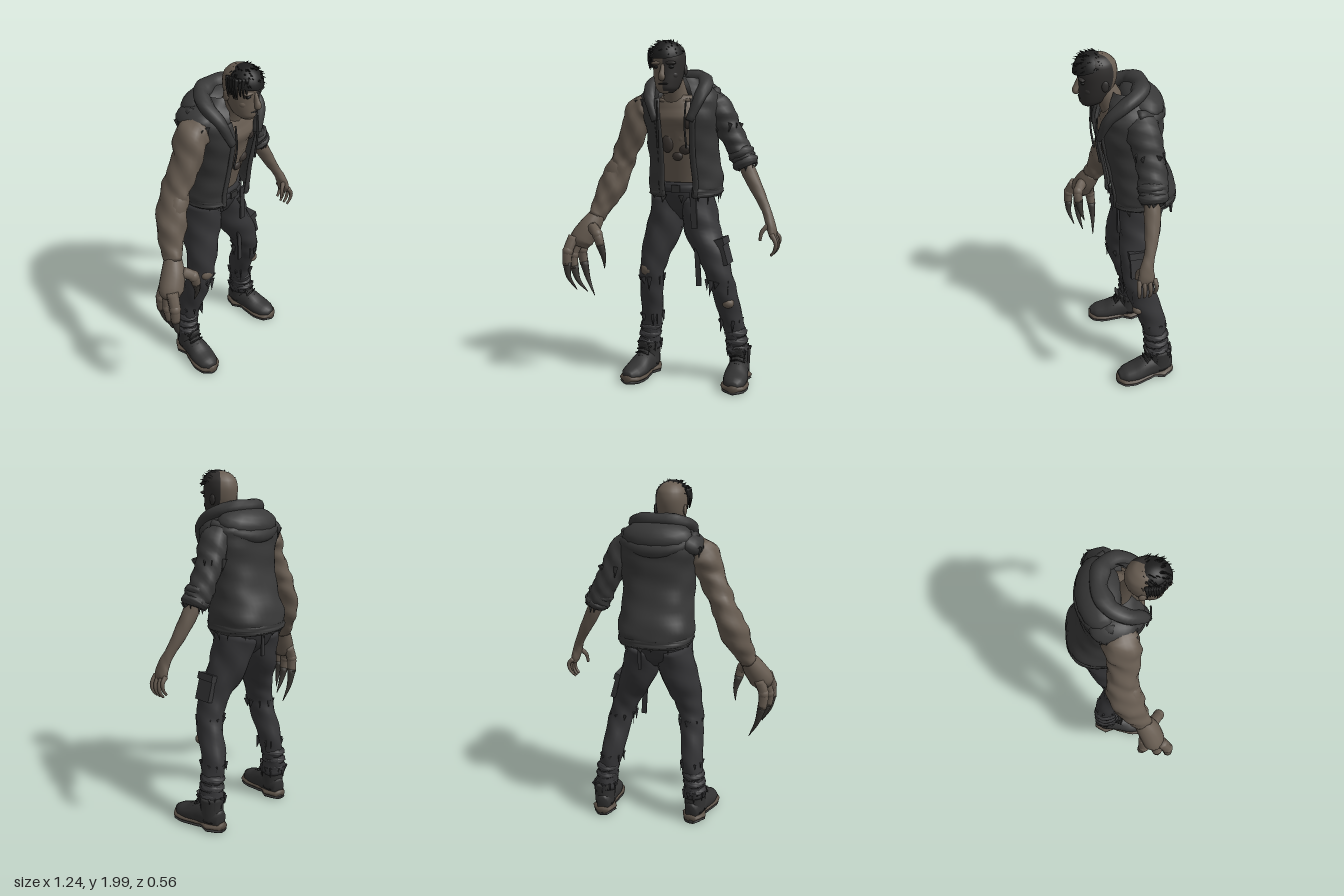
import * as THREE from 'three';

const mat = (name, hex, two) => {
  const m = new THREE.MeshStandardMaterial({ color: hex });
  m.name = name;
  if (two) m.side = THREE.DoubleSide;
  return m;
};
const squared = (v, power) => Math.sign(v) * Math.abs(v) ** power;

// Smooth loft through [x, y, z, halfWidth, halfDepth] sections; power under 1 squares the section.
function loft(pts, o = {}) {
  const { seg = 16, sub = 4, flat = false, ref = [1, 0, 0], wrinkle = 0, arc = [0, Math.PI * 2], cap = true, power = 1 } = o;
  const path = new THREE.CatmullRomCurve3(pts.map(p => new THREE.Vector3(p[0], p[1], p[2])));
  const size = new THREE.CatmullRomCurve3(pts.map(p => new THREE.Vector3(p[3], p[4], 0)));
  const full = arc[1] - arc[0] > 6.28, cols = full ? seg : seg + 1, rows = (pts.length - 1) * sub;
  const pos = [], idx = [], R = new THREE.Vector3(...ref), up = new THREE.Vector3(0, 1, 0);
  for (let i = 0; i <= rows; i++) {
    const k = i / rows, c = path.getPoint(k), r = size.getPoint(k);
    const t = flat ? up : path.getTangent(k);
    const s = R.clone().addScaledVector(t, -R.dot(t)).normalize();
    const u = new THREE.Vector3().crossVectors(t, s);
    for (let j = 0; j < cols; j++) {
      const a = arc[0] + (arc[1] - arc[0]) * j / seg;
      const w = 1 + wrinkle * (Math.sin(3 * a + k * 41) + Math.sin(5 * a - k * 27)) / 2;
      const p = c.clone().addScaledVector(s, squared(Math.cos(a), power) * r.x * w).addScaledVector(u, squared(Math.sin(a), power) * r.y * w);
      pos.push(p.x, p.y, p.z);
    }
  }
  const tip = pos.length / 3, last = rows * cols;
  const first = path.getPoint(0), end = path.getPoint(1);
  if (cap) pos.push(first.x, first.y, first.z, end.x, end.y, end.z);
  for (let j = 0; j < seg; j++) {
    const n = (j + 1) % cols;
    for (let i = 0; i < rows; i++) {
      const a = i * cols + j, b = i * cols + n;
      idx.push(a, b, a + cols, b, b + cols, a + cols);
    }
    if (cap) idx.push(tip, n, j, tip + 1, last + j, last + n);
  }
  const g = new THREE.BufferGeometry();
  g.setAttribute('position', new THREE.Float32BufferAttribute(pos, 3));
  g.setIndex(idx);
  g.computeVertexNormals();
  return g;
}

export function createModel() {
  const root = new THREE.Group();
  const skin = mat('skin', 0x675c51), jacket = mat('jacket cloth', 0x383838, true), pants = mat('trouser cloth', 0x353537, true);
  const hair = mat('hair', 0x1d1d1d), boot = mat('boot leather', 0x323232), sole = mat('boot sole', 0x574d43);
  const claw = mat('claw', 0x3a3733), dark = mat('dark stain', 0x39332f), shade = mat('dark face', 0x302e2d);
  let seed = 7;
  const rnd = () => (seed = (seed * 16807) % 2147483647) / 2147483647;
  const add = (name, geo, m, parent = root) => {
    const mesh = new THREE.Mesh(geo, m);
    mesh.name = name;
    parent.add(mesh);
    return mesh;
  };
  const blob = (name, m, p, s, parent) => {
    const b = add(name, new THREE.SphereGeometry(1, 16, 12), m, parent);
    b.position.set(...p);
    b.scale.set(...s);
    return b;
  };
  // Tapering tube with radius r0 at the start and r1 at the end.
  const taper = (name, pts, r0, r1, m, parent) => add(name, loft(pts.map((p, i) => {
    const r = r0 + (r1 - r0) * i / (pts.length - 1);
    return [...p, r, r];
  }), { seg: 8 }), m, parent);
  // Ring of torn cloth points hanging from a hem.
  const tatters = (name, x, y, z, rx, rz, n, len, m) => {
    const g = new THREE.Group();
    g.name = name;
    for (let i = 0; i < n; i++) {
      const a = (i + rnd() * 0.6) / n * Math.PI * 2, l = len * (0.4 + rnd() * 0.8);
      const c = add('tornCloth', new THREE.ConeGeometry(0.018, l, 4), m, g);
      c.position.set(x + Math.sin(a) * rx, y - l * 0.4, z + Math.cos(a) * rz);
      c.scale.z = 0.3;
      c.rotation.set(Math.PI, -a, (rnd() - 0.5) * 0.5, 'YXZ');
    }
    root.add(g);
  };

  // Head: bare skin on one side, dark on the other
  const headPts = [[.015, 1.7, .185, .035, .035], [.015, 1.725, .17, .06, .07], [.015, 1.77, .155, .075, .086], [.015, 1.82, .143, .085, .098],
    [.015, 1.88, .14, .09, .105], [.015, 1.93, .14, .083, .095], [.015, 1.965, .145, .055, .065], [.015, 1.978, .147, .02, .02]];
  add('headSkin', loft(headPts, { flat: true, arc: [.75, Math.PI * 1.5] }), skin);
  add('headDarkSide', loft(headPts, { flat: true, arc: [-Math.PI / 2, .75] }), shade);
  add('neck', loft([[.03, 1.58, .02, .085, .08], [.02, 1.72, .075, .065, .068], [.015, 1.8, .12, .06, .065]]), skin);
  add('nose', loft([[.015, 1.85, .235, .01, .01], [.015, 1.81, .248, .014, .016], [.015, 1.782, .257, .02, .018], [.015, 1.77, .245, .012, .01]], { seg: 10 }), skin);
  for (const s of [-1, 1]) {
    const side = s < 0 ? skin : shade;
    blob('ear', side, [.015 + s * .086, 1.825, .115], [.01, .03, .02]);
    blob('brow', side, [.015 + s * .037, 1.858, .228], [.036, .011, .018]);
    blob('eye', hair, [.015 + s * .036, 1.838, .224], [.022, .01, .012]);
    blob('cheek', side, [.015 + s * .043, 1.795, .192], [.028, .026, .028]);
  }
  blob('mouth', hair, [.015, 1.748, .236], [.028, .005, .008]);
  blob('chin', skin, [.015, 1.715, .208], [.032, .02, .022]);

  // Hair: front cap with ragged strands
  const cap = add('hairCap', new THREE.SphereGeometry(1, 20, 10, 0, Math.PI * 2, 0, 1.25), hair);
  cap.position.set(.012, 1.875, .163);
  cap.scale.set(.097, .11, .106);
  cap.rotation.x = .3;
  const locks = new THREE.Group();
  locks.name = 'hairLocks';
  for (let i = 0; i < 75; i++) {
    const a = rnd() * Math.PI * 2, e = .15 + rnd() * 1.05;
    const n = new THREE.Vector3(Math.sin(a) * Math.cos(e), Math.sin(e), Math.cos(a) * Math.cos(e));
    const l = add('lock', new THREE.ConeGeometry(.011, .055, 4), hair, locks);
    l.position.set(.012 + n.x * .09, 1.89 + n.y * .09, .168 + n.z * .086);
    l.quaternion.setFromUnitVectors(new THREE.Vector3(0, 1, 0), n.multiplyScalar(.6).add(new THREE.Vector3(-.15, -.25, .45)).normalize());
  }
  for (let i = 0; i < 9; i++) {
    const z = .13 + i * .012, x = -.075 + Math.max(0, i - 5) * .012;
    taper('sideLock', [[x, 1.94, z], [x - .01, 1.89, z + .006], [x - .003, 1.82 + rnd() * .03, z + .008]], .012, .002, hair, locks);
  }
  root.add(locks);

  // Bare torso with dark stains
  add('torso', loft([[.03, 1.12, -.085, .14, .12], [.03, 1.22, -.07, .145, .13], [.035, 1.36, -.035, .155, .13], [.035, 1.5, -.01, .17, .135],
    [.035, 1.6, 0, .17, .135], [.03, 1.69, .01, .1, .1]], { flat: true, seg: 24 }), skin);
  for (const s of [-1, 1]) {
    blob('chestMuscle', skin, [.035 + s * .06, 1.56, .085], [.065, .055, .05]);
    for (let i = 0; i < 3; i++) blob('abdominal', skin, [.035 + s * .03, 1.46 - i * .08, .085 - i * .022], [.034, .045, .03]);
    taper('collarbone', [[.03 + s * .02, 1.645, .11], [.03 + s * .09, 1.665, .09]], .011, .011, skin);
  }
  for (const [x, y, z, w, h] of [[-.01, 1.42, .105, .035, .05], [.09, 1.39, .092, .035, .028], [.045, 1.35, .09, .03, .025], [.115, 1.54, .122, .022, .035]])
    blob('stain', dark, [x, y, z], [w, h, .017]);

  // Open jacket shell with edge strips
  const gapL = .43, gapR = .29, power = .8;
  const wrap = { flat: true, seg: 40, cap: false, wrinkle: .025, power, arc: [-Math.PI / 2 + gapL, Math.PI * 1.5 - gapR] };
  const shell = [[.035, 1.12, -.09, .2, .185], [.035, 1.2, -.09, .215, .19], [.035, 1.32, -.06, .2, .178], [.035, 1.45, -.03, .203, .172],
    [.035, 1.58, -.018, .22, .18], [.03, 1.67, -.028, .23, .17], [.03, 1.73, -.03, .18, .14], [.03, 1.785, -.02, .11, .1]];
  add('jacketBody', loft(shell, wrap), jacket);
  for (const [s, gap] of [[-1, gapR], [1, gapL]]) {
    const edge = shell.slice(0, 6).map(p => [p[0] + s * p[3] * squared(Math.sin(gap + .04), power), p[1], p[2] + p[4] * squared(Math.cos(gap + .04), power), .018, .009]);
    add('jacketEdge', loft(edge, { seg: 8 }), jacket);
    taper('drawCord', [[.035 + s * .085, 1.66, .165], [.035 + s * .08, 1.53, .172], [.035 + s * .085, 1.4, .155]], .005, .006, boot);
  }
  add('hemBand', loft([[.035, 1.115, -.09, .2, .186], [.035, 1.135, -.09, .211, .195], [.035, 1.165, -.09, .211, .192]], wrap), jacket);
  tatters('jacketTatters', .035, 1.125, -.09, .2, .185, 14, .05, jacket);
  blob('shoulderCloth', jacket, [-.15, 1.67, -.035], [.085, .06, .12]).rotation.z = .5;

  // Hood folded around the neck and down the back
  const rim = [[-.06, 1.55, .155, .02, .025], [-.11, 1.68, .115, .03, .035], [-.125, 1.75, .03, .036, .042], [-.08, 1.785, -.05, .038, .045], [.03, 1.795, -.085, .038, .045],
    [.14, 1.785, -.05, .038, .045], [.19, 1.75, .03, .036, .042], [.185, 1.68, .115, .03, .035], [.135, 1.55, .155, .02, .025]];
  add('hoodRim', loft(rim, { ref: [0, 1, .3], seg: 12, sub: 5, wrinkle: .06 }), jacket);
  blob('hoodBag', jacket, [.03, 1.71, -.09], [.2, .085, .12]).rotation.x = -.3;
  add('hoodFold', loft([[-.175, 1.715, -.03, .025, .025], [-.115, 1.67, -.14, .032, .032], [.03, 1.645, -.185, .04, .033], [.175, 1.67, -.14, .032, .032], [.235, 1.715, -.03, .025, .025]],
    { ref: [0, 1, 0], seg: 10 }), jacket);

  // Enlarged right arm, clawed hand
  add('rightArm', loft([[-.15, 1.65, -.01, .065, .08], [-.21, 1.6, 0, .085, .098], [-.25, 1.5, .01, .075, .088], [-.305, 1.38, 0, .07, .083], [-.343, 1.29, -.005, .068, .09],
    [-.39, 1.17, .02, .08, .093], [-.435, 1.06, .06, .06, .072], [-.465, .98, .1, .046, .056]], { wrinkle: .09, seg: 20, sub: 6 }), skin);
  blob('forearmMuscle', skin, [-.37, 1.24, .04], [.06, .11, .056]).rotation.z = -.4;
  tatters('armholeTatters', -.185, 1.66, -.015, .045, .1, 14, .07, jacket);
  add('rightPalm', loft([[-.455, 1, .09, .044, .05], [-.495, .92, .13, .066, .066], [-.535, .85, .155, .072, .066], [-.545, .81, .165, .05, .045]]), skin);
  const digits = [
    [[-.565, .87, .195], [-.585, .79, .235], [-.59, .71, .24], [-.58, .64, .24], [-.54, .56, .215]],
    [[-.55, .85, .155], [-.58, .76, .175], [-.575, .68, .18], [-.55, .61, .18], [-.495, .54, .165]],
    [[-.53, .86, .105], [-.56, .78, .1], [-.555, .69, .09], [-.53, .6, .09], [-.482, .5, .1]],
    [[-.46, .93, .16], [-.41, .895, .2], [-.39, .83, .2], [-.375, .76, .19], [-.38, .69, .17]]];
  for (const d of digits) {
    taper('clawFinger', d.slice(0, 3), .034, .026, skin);
    blob('knuckle', skin, d[1], [.032, .034, .032]);
    taper('claw', [d[2].map((v, i) => v * .85 + d[1][i] * .15), ...d.slice(3)], .027, .002, claw);
  }

  // Left sleeve, forearm, hand
  add('leftSleeve', loft([[.17, 1.67, -.03, .06, .08], [.235, 1.62, -.05, .08, .09], [.285, 1.52, -.07, .073, .082], [.34, 1.42, -.078, .066, .08],
    [.38, 1.34, -.075, .07, .08], [.4, 1.305, -.07, .06, .068]], { wrinkle: .08, sub: 6 }), jacket);
  for (let i = 0; i < 2; i++) {
    const x = .37 + i * .024, y = 1.362 - i * .048;
    add('cuffRoll', loft([[x - .012, y + .025, -.072, .062, .07], [x, y, -.072, .077, .083], [x + .012, y - .025, -.072, .06, .068]], { wrinkle: .05 }), jacket);
  }
  tatters('sleeveTatters', .4, 1.31, -.07, .055, .06, 10, .06, jacket);
  tatters('upperSleeveTatters', .285, 1.53, -.07, .08, .08, 8, .06, jacket);
  add('leftForearm', loft([[.37, 1.36, -.07, .04, .045], [.42, 1.26, -.06, .042, .046], [.48, 1.15, -.045, .035, .04], [.535, 1.05, -.02, .026, .03],
    [.56, .99, 0, .027, .037], [.578, .93, .005, .024, .046], [.582, .9, .005, .014, .035]], { wrinkle: .04 }), skin);
  for (let i = 0; i < 4; i++) {
    const z = .044 - i * .027, e = i === 3 ? .02 : 0;
    taper('finger', [[.58, .93, z], [.606, .88 + e, z * 1.15], [.6, .84 + e, z * 1.1], [.578, .81 + e, z]], .014, .007, skin);
  }
  taper('thumb', [[.56, .98, .02], [.525, .94, .04], [.515, .89, .045]], .016, .008, skin);

  // Trousers
  add('hips', loft([[.025, .975, -.085, .06, .05], [.02, 1.03, -.085, .165, .11], [.02, 1.12, -.085, .18, .15], [.02, 1.2, -.075, .17, .15]], { flat: true, seg: 24 }), pants);
  add('belt', loft([[.02, 1.145, -.08, .183, .16], [.02, 1.165, -.079, .184, .163], [.02, 1.185, -.077, .178, .157]], { flat: true, seg: 28, cap: false }), pants);
  const buckle = add('buckle', new THREE.BoxGeometry(.05, .04, .012), boot);
  buckle.position.set(.03, 1.165, .084);
  const legs = {
    right: [[-.065, 1.1, -.08, .1, .138], [-.088, .93, -.06, .105, .122], [-.13, .78, -.02, .085, .098], [-.152, .66, -.01, .071, .085], [-.165, .55, -.03, .068, .08],
      [-.178, .4, -.075, .064, .075], [-.193, .27, -.09, .06, .066], [-.2, .16, -.09, .066, .072]],
    left: [[.105, 1.1, -.08, .1, .138], [.142, .93, -.06, .105, .12], [.215, .78, -.03, .085, .095], [.26, .66, -.03, .075, .085], [.285, .55, -.055, .07, .08],
      [.31, .4, -.11, .066, .075], [.335, .27, -.125, .06, .066], [.35, .16, -.14, .064, .072]]
  };
  for (const [side, p] of Object.entries(legs)) {
    add(side + 'TrouserLeg', loft(p, { wrinkle: .06, sub: 6 }), pants);
    tatters('kneeTatters', p[3][0], .63, p[3][2], .072, .085, 9, .08, pants);
    tatters('shinTatters', p[5][0], .38, p[5][2], .064, .075, 8, .08, pants);
    tatters('cuffTatters', p[7][0], .2, p[7][2], .066, .073, 10, .07, pants);
    for (let i = 0; i < 3; i++) {
      const y = .3 - i * .05, k = .012 * i, x = p[6][0] + (side === 'left' ? k : -k) * .5;
      add('cuffFold', loft([[x, y + .028, p[6][2], .052, .06], [x, y, p[6][2], .068, .076], [x, y - .028, p[6][2], .052, .06]], { wrinkle: .1 }), pants);
    }
  }
  blob('rightKneeSkin', skin, [-.155, .678, .05], [.046, .04, .03]);
  blob('leftShinSkin', skin, [.318, .5, -.015], [.036, .03, .033]);
  const box = (name, s, p, rz, m) => {
    const b = add(name, new THREE.BoxGeometry(...s), m);
    b.position.set(...p);
    b.rotation.z = rz;
  };
  box('cargoPocket', [.045, .15, .11], [.284, .8, -.03], .28, pants);
  box('pocketFlap', [.055, .04, .12], [.272, .86, -.03], .28, pants);
  box('frontStrap', [.035, .22, .012], [.13, 1.05, .06], .05, pants);
  box('thighStrap', [.03, .22, .01], [.148, .71, .03], .06, pants);
  box('backStrap', [.018, .13, .01], [.08, 1.06, -.265], 0, pants);

  // Laced boots
  for (const [name, x, z, yaw] of [['rightBoot', -.215, .01, -.15], ['leftBoot', .367, -.05, .12]]) {
    const g = new THREE.Group();
    g.name = name;
    const outline = (y, h, k) => [[0, y, -.175, .035 * k, h], [0, y, -.13, .06 * k, h], [0, y, -.02, .06 * k, h], [0, y, .08, .079 * k, h], [0, y, .145, .066 * k, h], [0, y + .004, .178, .025 * k, h]];
    add('tread', loft(outline(.012, .012, .97)), boot, g);
    add('sole', loft(outline(.032, .02, 1.03)), sole, g);
    add('upper', loft([[0, .07, -.165, .035, .05], [0, .08, -.11, .058, .075], [0, .08, -.02, .063, .072], [0, .062, .06, .072, .05], [0, .052, .125, .062, .042], [0, .047, .167, .028, .025]]), boot, g);
    add('shaft', loft([[0, .06, -.09, .06, .07], [0, .14, -.095, .063, .068], [0, .2, -.095, .066, .074]]), boot, g);
    add('tongue', loft([[0, .12, .0, .035, .015], [0, .17, -.02, .038, .012], [0, .215, -.005, .03, .008]]), boot, g);
    for (let i = 0; i < 4; i++) taper('lace', [[-.045, .12 + i * .02, .01 - i * .014], [0, .135 + i * .02, .022 - i * .014], [.045, .12 + i * .02, .01 - i * .014]], .005, .005, hair, g);
    g.position.set(x, 0, z);
    g.rotation.y = yaw;
    root.add(g);
  }
  return root;
}
